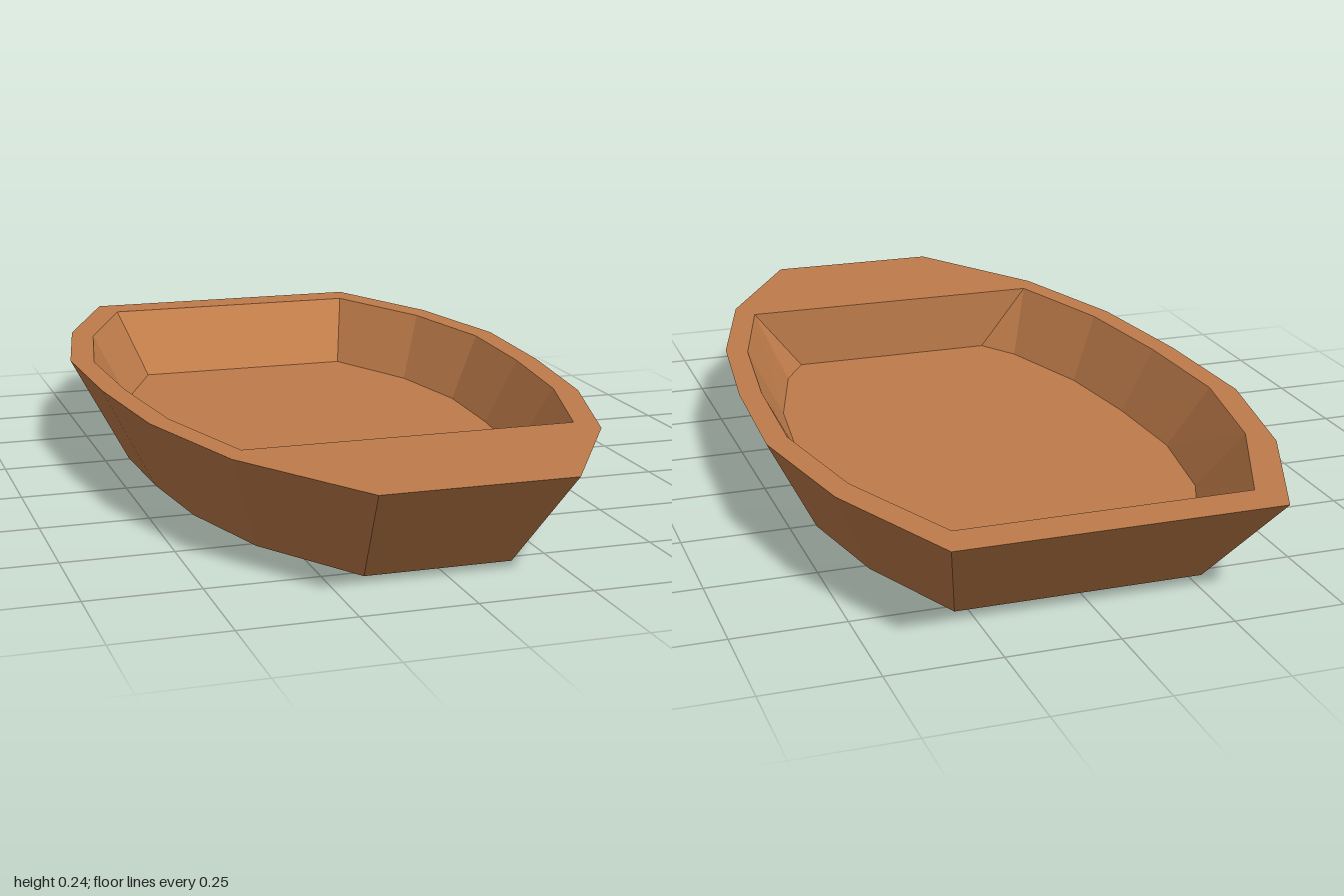
import * as THREE from 'three';

const TOP = 0.243, FLOOR = 0.09;

// Half outlines as [x, z], from stern to bow
const outerTop = [[0.36, -1], [0.5, -0.667], [0.565, -0.333], [0.552, 0], [0.513, 0.333], [0.415, 0.667], [0.212, 1]];
const outerBottom = outerTop.map(([x, z]) => [x * 0.777, z * 0.775]);
const innerTop = [[0.328, -0.905], [0.455, -0.605], [0.511, -0.303], [0.499, 0], [0.464, 0.303], [0.378, 0.603], [0.378, 0.603]];
const innerFloor = [[0.275, -0.762], [0.385, -0.51], [0.428, -0.255], [0.419, 0], [0.39, 0.253], [0.316, 0.505], [0.256, 0.603]];

// Mirror a half outline into a closed loop
const loop = (half) => [...half, ...[...half].reverse().map(([x, z]) => [-x, z])];

// Flat-sided wall between two loops
function band(halfA, yA, halfB, yB) {
  const a = loop(halfA).map(([x, z]) => new THREE.Vector3(x, yA, z));
  const b = loop(halfB).map(([x, z]) => new THREE.Vector3(x, yB, z));
  const points = [];
  a.forEach((p, i) => {
    const j = (i + 1) % a.length;
    for (const tri of [[p, a[j], b[j]], [p, b[j], b[i]]]) {
      if (new THREE.Triangle(...tri).getArea() > 1e-6) points.push(...tri);
    }
  });
  const geometry = new THREE.BufferGeometry().setFromPoints(points);
  geometry.computeVertexNormals();
  return geometry;
}

// Horizontal face, facing up (1) or down (-1), with an optional opening
function plate(half, y, facing, holeHalf) {
  const toPoints = (h) => loop(h).map(([x, z]) => new THREE.Vector2(x, -facing * z));
  const shape = new THREE.Shape(toPoints(half));
  if (holeHalf) shape.holes.push(new THREE.Path(toPoints(holeHalf)));
  return new THREE.ShapeGeometry(shape).rotateX(-facing * Math.PI / 2).translate(0, y, 0);
}

export function createModel() {
  const group = new THREE.Group();
  group.name = 'rowboat';
  const wood = new THREE.MeshStandardMaterial({ name: 'wood', color: 0xbf7c4a, flatShading: true });

  const add = (name, geometry) => {
    const mesh = new THREE.Mesh(geometry, wood);
    mesh.name = name;
    group.add(mesh);
  };

  // Outer hull
  add('hullSides', band(outerTop, TOP, outerBottom, 0));
  add('hullBottom', plate(outerBottom, 0, -1));

  // Gunwale with the bow deck
  add('gunwaleAndBowDeck', plate(outerTop, TOP, 1, innerTop.slice(0, -1)));

  // Open cockpit
  add('cockpitWalls', band(innerFloor, FLOOR, innerTop, TOP));
  add('cockpitFloor', plate(innerFloor, FLOOR, 1));

  return group;
}
